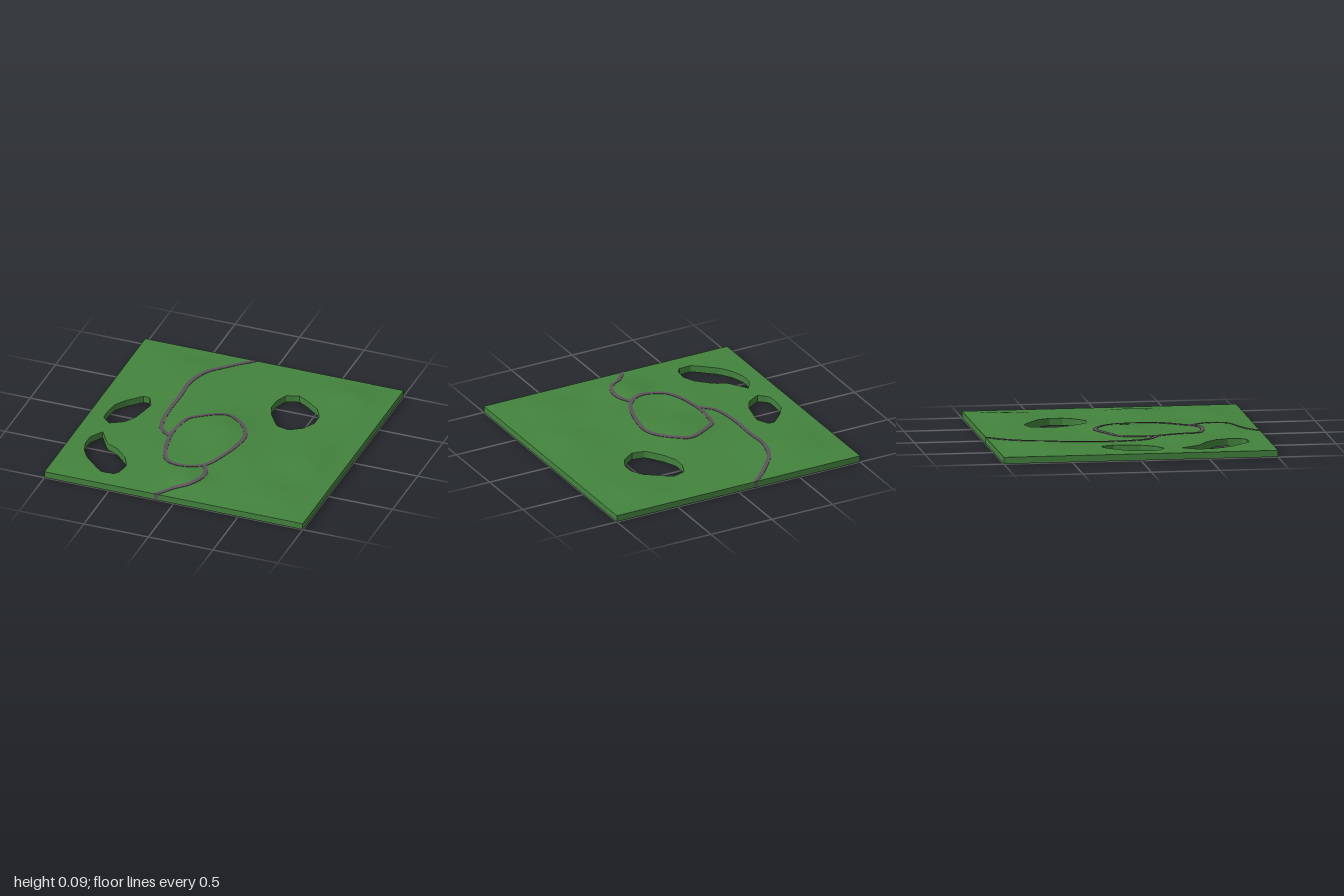
import * as THREE from 'three';

const N = 42; // ground cells per side
const BOTTOM = 0.002;

// Outlines of the three ponds cut through the ground, as [x, z]
const HOLES = [
  [[.2, -.52], [.24, -.62], [.33, -.65], [.4, -.61], [.52, -.52], [.57, -.43], [.57, -.33], [.52, -.24], [.43, -.18], [.33, -.2], [.24, -.33], [.2, -.43]],
  [[-.71, -.24], [-.67, -.24], [-.62, -.14], [-.66, .05], [-.71, .14], [-.81, .2], [-.88, .14], [-.88, .05], [-.87, -.05], [-.81, -.14]],
  [[-.81, .33], [-.72, .47], [-.62, .52], [-.52, .62], [-.48, .71], [-.49, .81], [-.52, .85], [-.62, .85], [-.67, .81], [-.78, .71], [-.84, .62], [-.87, .52], [-.87, .43]],
];

// Centre lines of the trails, as [x, z]
const TRAILS = {
  backTrail: [[-.14, -1], [-.24, -.91], [-.33, -.81], [-.41, -.71], [-.47, -.52], [-.47, -.33], [-.47, -.05], [-.43, .14], [-.34, .22]],
  loopTrail: [[-.05, -.19], [.05, -.14], [.14, -.05], [.18, .05], [.18, .14], [.14, .33], [.05, .52], [-.05, .58], [-.14, .58], [-.24, .53], [-.33, .23], [-.33, .1], [-.3, -.05], [-.24, -.1]],
  frontTrail: [[.05, .52], [.1, .62], [.1, .71], [.05, .81], [-.05, .89], [-.14, 1]],
};

// Gentle hills: x, z, height, radius
const HILLS = [
  [-.03, 0, .034, .24], [0, .72, .031, .17], [.22, .35, .02, .22], [.7, -.75, .02, .2],
  [.72, .2, .022, .22], [-.6, -.65, .018, .25], [-.35, .4, .015, .2], [.6, .7, .018, .2],
];

function height(x, z) {
  const fade = Math.min(1, (1 - Math.max(Math.abs(x), Math.abs(z))) / 0.2);
  let h = 0;
  for (const [hx, hz, a, r] of HILLS) h += a * Math.exp(-((x - hx) ** 2 + (z - hz) ** 2) / (r * r));
  return 0.05 + Math.max(0, fade) * (h + 0.004);
}

// Signed distance to an outline, negative inside
function outlineDistance(x, z, pts) {
  let best = Infinity, inside = false;
  pts.forEach(([ax, az], i) => {
    const [bx, bz] = pts[(i + 1) % pts.length];
    const ex = bx - ax, ez = bz - az;
    const t = THREE.MathUtils.clamp(((x - ax) * ex + (z - az) * ez) / (ex * ex + ez * ez), 0, 1);
    best = Math.min(best, Math.hypot(x - ax - t * ex, z - az - t * ez));
    if ((az > z) !== (bz > z) && x < ax + ex * (z - az) / ez) inside = !inside;
  });
  return inside ? -best : best;
}

function toGeometry(positions) {
  const g = new THREE.BufferGeometry();
  g.setAttribute('position', new THREE.Float32BufferAttribute(positions, 3));
  g.computeVertexNormals();
  return g;
}

const quad = (out, a, b, c, d) => out.push(...a, ...b, ...c, ...a, ...c, ...d);
const top = (p, lift = 0) => [p.x, height(p.x, p.z) + lift, p.z];
const base = (p, y) => [p.x, y, p.z];

// Keep the part of a triangle that lies outside the ponds
function clip(tri) {
  const out = [];
  tri.forEach((a, i) => {
    const b = tri[(i + 1) % 3];
    if (a.d >= 0) out.push(a);
    if ((a.d >= 0) !== (b.d >= 0)) {
      const t = a.d / (a.d - b.d);
      out.push({ x: a.x + t * (b.x - a.x), z: a.z + t * (b.z - a.z), cut: true });
    }
  });
  return out;
}

function groundGeometry() {
  const pos = [];
  const grid = [];
  for (let i = 0; i <= N; i++) {
    grid.push([]);
    for (let j = 0; j <= N; j++) {
      const x = -1 + 2 * i / N, z = -1 + 2 * j / N;
      grid[i].push({ x, z, d: Math.min(...HOLES.map((h) => outlineDistance(x, z, h))) });
    }
  }
  const onRim = (p, q, k) => Math.abs(Math.abs(p[k]) - 1) < 1e-6 && Math.abs(p[k] - q[k]) < 1e-6;
  const addTriangle = (...tri) => {
    const poly = clip(tri);
    for (let k = 1; k + 1 < poly.length; k++) {
      pos.push(...top(poly[0]), ...top(poly[k]), ...top(poly[k + 1]));
      pos.push(...base(poly[0], BOTTOM), ...base(poly[k + 1], BOTTOM), ...base(poly[k], BOTTOM));
    }
    // Walls along the outer rim and around the ponds
    poly.forEach((p, k) => {
      const q = poly[(k + 1) % poly.length];
      if ((p.cut && q.cut) || onRim(p, q, 'x') || onRim(p, q, 'z')) {
        quad(pos, base(p, BOTTOM), base(q, BOTTOM), top(q), top(p));
      }
    });
  };
  for (let i = 0; i < N; i++) {
    for (let j = 0; j < N; j++) {
      const a = grid[i][j], b = grid[i][j + 1], c = grid[i + 1][j + 1], d = grid[i + 1][j];
      addTriangle(a, b, d);
      addTriangle(b, c, d);
    }
  }
  return toGeometry(pos);
}

// A narrow band running through the full thickness of the ground
function trailGeometry(points, closed) {
  const curve = new THREE.CatmullRomCurve3(points.map(([x, z]) => new THREE.Vector3(x, 0, z)), closed, 'centripetal');
  const steps = points.length * 6, half = 0.015, lift = 0.003;
  const rows = [];
  for (let i = 0; i <= steps; i++) {
    const p = curve.getPointAt(i / steps), t = curve.getTangentAt(i / steps);
    const side = (s) => ({
      x: p.x + s * half * t.z,
      z: i === 0 && p.z < -.99 ? -1.002 : i === steps && p.z > .99 ? 1.002
        : THREE.MathUtils.clamp(p.z - s * half * t.x, -1.002, 1.002),
    });
    rows.push([side(1), side(-1)]);
  }
  const pos = [];
  for (let i = 0; i < steps; i++) {
    const [a, b] = rows[i], [d, c] = rows[i + 1];
    quad(pos, top(a, lift), top(d, lift), top(c, lift), top(b, lift));
    quad(pos, base(a, 0), base(b, 0), base(c, 0), base(d, 0));
    quad(pos, base(a, 0), base(d, 0), top(d, lift), top(a, lift));
    quad(pos, base(c, 0), base(b, 0), top(b, lift), top(c, lift));
  }
  // End faces
  if (!closed) {
    for (const [a, b] of [rows[0], rows[steps].slice().reverse()]) {
      quad(pos, base(b, 0), base(a, 0), top(a, lift), top(b, lift));
    }
  }
  return toGeometry(pos);
}

export function createModel() {
  const grass = new THREE.MeshStandardMaterial({ color: 0x43833d });
  grass.name = 'grassGreen';
  grass.flatShading = true;
  const dirt = new THREE.MeshStandardMaterial({ color: 0x5e525c });
  dirt.name = 'trailGrey';
  dirt.flatShading = true;
  dirt.side = THREE.DoubleSide;

  const model = new THREE.Group();
  model.name = 'terrain';
  const add = (name, geometry, material) => {
    const mesh = new THREE.Mesh(geometry, material);
    mesh.name = name;
    model.add(mesh);
  };
  add('ground', groundGeometry(), grass);
  for (const [name, points] of Object.entries(TRAILS)) {
    add(name, trailGeometry(points, name === 'loopTrail'), dirt);
  }
  return model;
}
